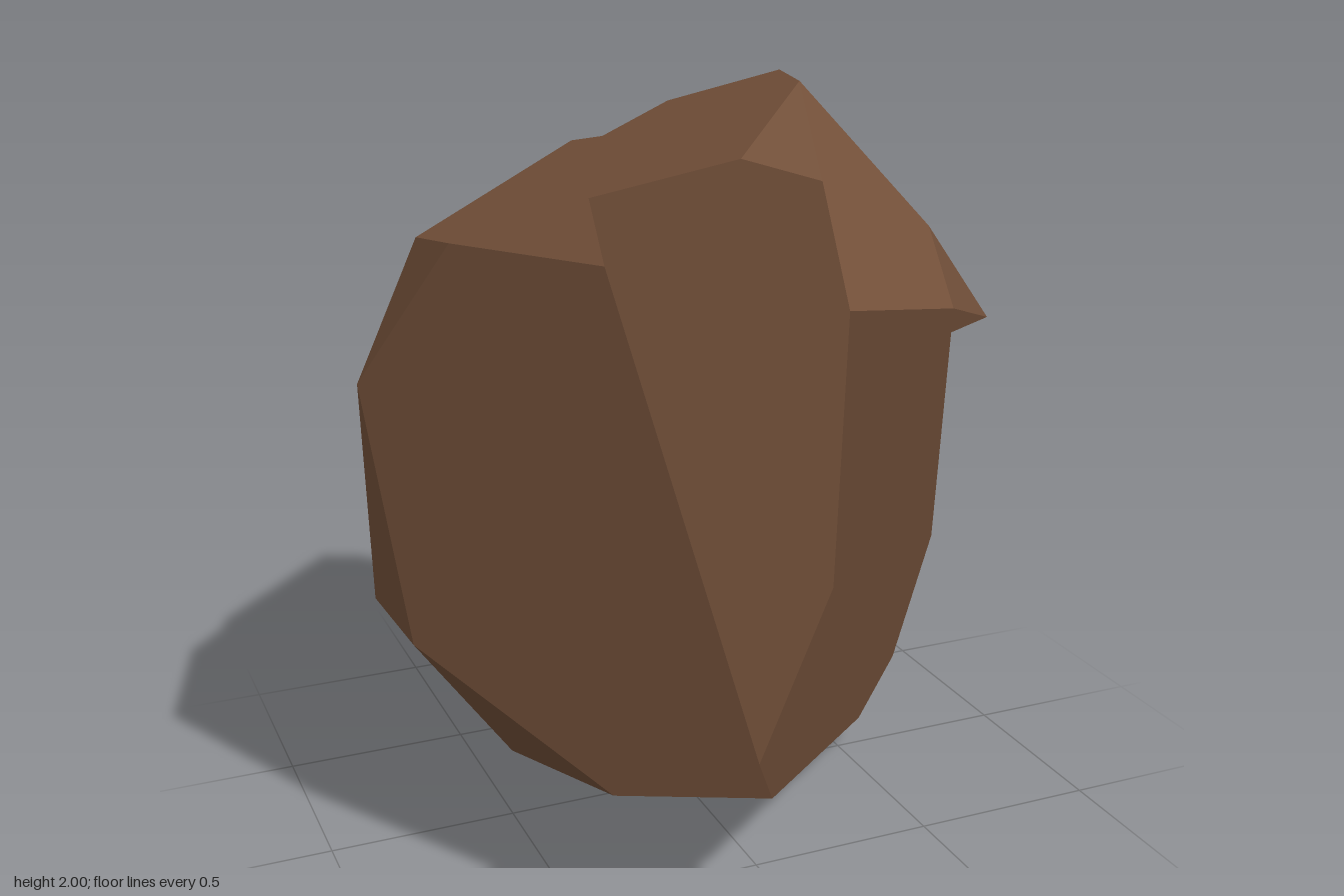
import * as THREE from 'three';

// Named corners of the boulder: t = crown, f = front and left side, b = back and right side, u = underside
const corners = {
  t1: [0.13, 2, 0.4], t2: [0.37, 1.945, -0.2], t3: [0.13, 1.85, -0.4], t4: [0.18, 1.77, -0.46],
  t5: [-0.03, 1.7, -0.74], t6: [-0.65, 1.58, -0.18], t7: [-0.68, 1.65, 0.23], t8: [-0.41, 1.635, 0.53],
  t9: [-0.39, 1.76, 0.38], t10: [-0.12, 1.87, 0.62], t11: [0.01, 1.835, 0.76],

  f1: [-0.01, 1.59, 0.94], f2: [0.41, 1.49, 0.67], f3: [0.67, 1.38, 0.41], f4: [0.81, 1.15, -0.14],
  f5: [0.62, 1.41, -0.3], f6: [0.87, 0.555, -0.14], f7: [-0.01, 0.94, 0.9], f8: [-0.19, 0.535, 0.905],
  f9: [0.39, 1.67, 0.575],

  b1: [0.04, 1.56, -0.79], b2: [-0.2, 1.34, -0.93], b3: [-0.39, 0.94, -0.94], b4: [-0.18, 0.91, -0.91],
  b5: [0.4, 0.945, -0.715], b6: [0.8, 0.63, -0.4], b7: [-0.59, 1.29, -0.62], b8: [-0.66, 0.84, -0.6],
  b9: [-0.87, 1.28, 0.04], b10: [-0.79, 0.62, 0.15], b11: [-0.8, 0.61, -0.2],

  u1: [-0.45, 0.38, 0.65], u2: [-0.07, 0.33, 0.73], u3: [0.11, 0.15, 0.4], u4: [0.17, 0, 0.13],
  u5: [0.55, 0.095, 0.03], u6: [0.69, 0.24, -0.03], u7: [0.69, 0.255, -0.32], u8: [0.07, 0.4, -0.71],
  u9: [0.08, 0.29, -0.61], u10: [-0.1, 0.2, -0.35], u11: [-0.18, 0.065, 0.03],
  u12: [-0.07, 0.095, 0.09], u13: [-0.49, 0.18, -0.02],
};

// Each facet lists its corners counter-clockwise from outside; bent facets are split into pieces by "|"
const facets = [
  // crown, with the notch on its right edge
  't1 t2 t3|t1 t3 t10|t3 t4 t6|t4 t5 t6|t3 t6 t10|t10 t6 t9|t9 t6 t8|t6 t7 t8', 't1 t10 t11',
  // front and left side
  't10 t9 t8 f8 f7 f1 t11', 't8 t7 b9 b10 u1 u2 f8', 't1 t11 f1 f2 f9',
  't1 f9 t2|f9 f5 t2|f9 f2 f3|f9 f3 f5|f3 f4 f5',
  'f2 f1 f7 f8 u2 u3 u4 u5 u6 f6 f4 f3', 'f5 f4 b6|f4 f6 b6',
  // back and right side
  't2 f5 t3|f5 t4 t3|f5 b6 t4|t4 b6 t5|t5 b6 b1|b1 b6 b5', 'b1 b5 u7', 'b5 b6 u7', 'b6 f6 u6 u7',
  'b1 u7 u8|b1 u8 b4|b1 b4 b2|t5 b1 b2', 'b2 b4 b3', 't5 b2 b3 b8 b7 b9 t6', 't7 t6 b9',
  'b9 b7 b8 b11 b10',
  // underside
  'b10 b11 u13 u1', 'u1 u13 u11 u12 u4 u3 u2',
  'u12 u11 u10|u12 u10 u9|u4 u12 u9|u5 u4 u9|u5 u9 u8|u5 u8 u7|u5 u7 u6',
  'u9 u10 u11 u13 b11 b8 b3 b4 u8',
];

// Area-weighted normal of a rim of points
function rimNormal(rim) {
  const normal = new THREE.Vector3();
  for (let i = 1; i < rim.length - 1; i++) {
    normal.add(rim[i].clone().sub(rim[0]).cross(rim[i + 1].clone().sub(rim[0])));
  }
  return normal;
}

// Splits each facet into triangles that share the facet's average normal
function facetGeometry() {
  const positions = [], normals = [];
  const forward = new THREE.Vector3(0, 0, 1);
  for (const facet of facets) {
    const pieces = facet.split('|').map((piece) =>
      piece.split(' ').map((name) => new THREE.Vector3(...corners[name])));
    const normal = new THREE.Vector3();
    pieces.forEach((rim) => normal.add(rimNormal(rim)));
    normal.normalize();
    for (const rim of pieces) {
      // flatten the rim onto its own plane to triangulate it
      const turn = new THREE.Quaternion().setFromUnitVectors(rimNormal(rim).normalize(), forward);
      const flat = rim.map((p) => {
        const q = p.clone().applyQuaternion(turn);
        return new THREE.Vector2(q.x, q.y);
      });
      for (const triangle of THREE.ShapeUtils.triangulateShape(flat, [])) {
        // rim order keeps every triangle facing outward
        for (const i of triangle.sort((a, b) => a - b)) {
          positions.push(...rim[i].toArray());
          normals.push(...normal.toArray());
        }
      }
    }
  }
  const geometry = new THREE.BufferGeometry();
  geometry.setAttribute('position', new THREE.Float32BufferAttribute(positions, 3));
  geometry.setAttribute('normal', new THREE.Float32BufferAttribute(normals, 3));
  return geometry;
}

export function createModel() {
  const group = new THREE.Group();
  group.name = 'boulder';

  const brown = new THREE.MeshStandardMaterial({ color: 0x74513a });
  brown.name = 'brown stone';

  const stone = new THREE.Mesh(facetGeometry(), brown);
  stone.name = 'stone';
  group.add(stone);
  return group;
}
